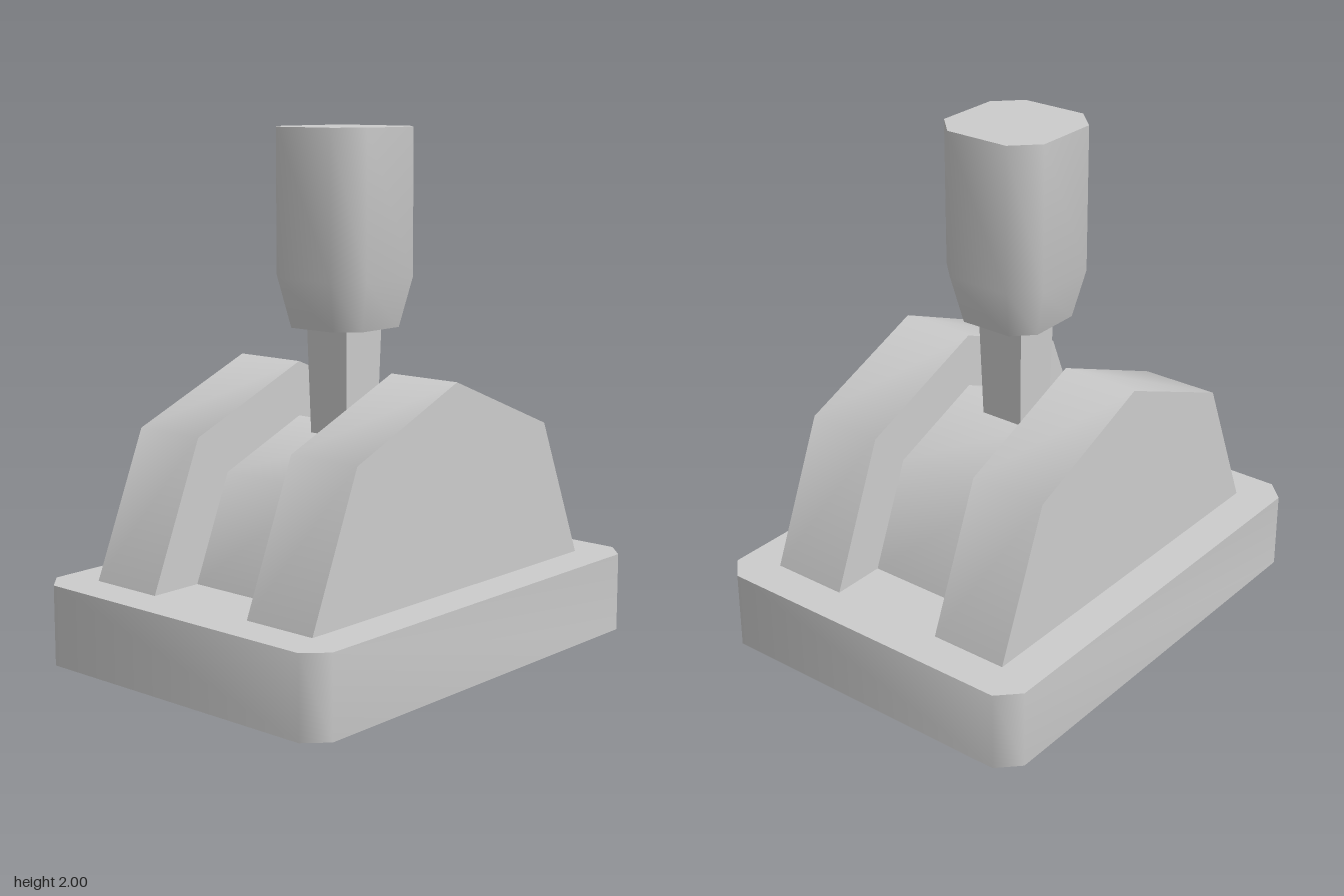
import * as THREE from 'three';
import { toCreasedNormals } from 'three/addons/utils/BufferGeometryUtils.js';

const material = new THREE.MeshStandardMaterial({ color: 0xcccccc });
const CREASE = 0.9; // 45 degree corners shade smoothly, square edges stay sharp

function addPart(group, name, geometry) {
  const mesh = new THREE.Mesh(toCreasedNormals(geometry, CREASE), material);
  mesh.name = name;
  group.add(mesh);
  return mesh;
}

function extrude(points, depth, steps = 1) {
  const shape = new THREE.Shape(points.map(([x, y]) => new THREE.Vector2(x, y)));
  return new THREE.ExtrudeGeometry(shape, { depth, steps, bevelEnabled: false });
}

// Upright block with a chamfered rectangular outline
function chamferedBlock(hx, hz, c, height, steps) {
  const outline = [
    [hx, -hz + c], [hx, hz - c], [hx - c, hz], [-hx + c, hz],
    [-hx, hz - c], [-hx, -hz + c], [-hx + c, -hz], [hx - c, -hz],
  ];
  return extrude(outline, height, steps).rotateX(-Math.PI / 2);
}

// Peaked plate standing on the base, between z0 and z1
function peakedPlate(scale, z0, z1) {
  const profile = [[-0.78, 0], [0.78, 0], [0.55, 0.555], [0, 0.78], [-0.55, 0.555]]
    .map(([x, y]) => [x * scale, y * scale]);
  return extrude(profile, z1 - z0).translate(0, 0.31, z0);
}

// Move vertices in x and z by a factor depending on height
function taper(geometry, factorAt) {
  const p = geometry.attributes.position;
  for (let i = 0; i < p.count; i++) {
    const f = factorAt(p.getY(i));
    p.setX(i, p.getX(i) * f);
    p.setZ(i, p.getZ(i) * f);
  }
  return geometry;
}

export function createModel() {
  const group = new THREE.Group();
  group.name = 'leverControl';

  addPart(group, 'base', chamferedBlock(0.933, 0.702, 0.08, 0.31));

  // Two large outer plates with a smaller one filling the slot
  addPart(group, 'frontPlate', peakedPlate(1, 0.235, 0.545));
  addPart(group, 'backPlate', peakedPlate(1, -0.545, -0.235));
  addPart(group, 'slotFloor', peakedPlate(0.724, -0.235, 0.235));

  // Square stem, slightly narrower towards the bottom
  const stem = new THREE.BoxGeometry(0.2, 0.65, 0.2).translate(0, 0.925, 0);
  addPart(group, 'stem', taper(stem, (y) => (y > 1 ? 1 : 0.84)));

  // Eight-sided grip, its lower section drawn in
  const grip = chamferedBlock(0.227, 0.227, 0.095, 0.75, 2);
  const pos = grip.attributes.position;
  for (let i = 0; i < pos.count; i++) {
    const y = pos.getY(i);
    pos.setY(i, y < 0.1 ? 1.25 : y < 0.5 ? 1.44 : 2);
  }
  addPart(group, 'grip', taper(grip, (y) => (y < 1.3 ? 0.8 : 1)));

  return group;
}
